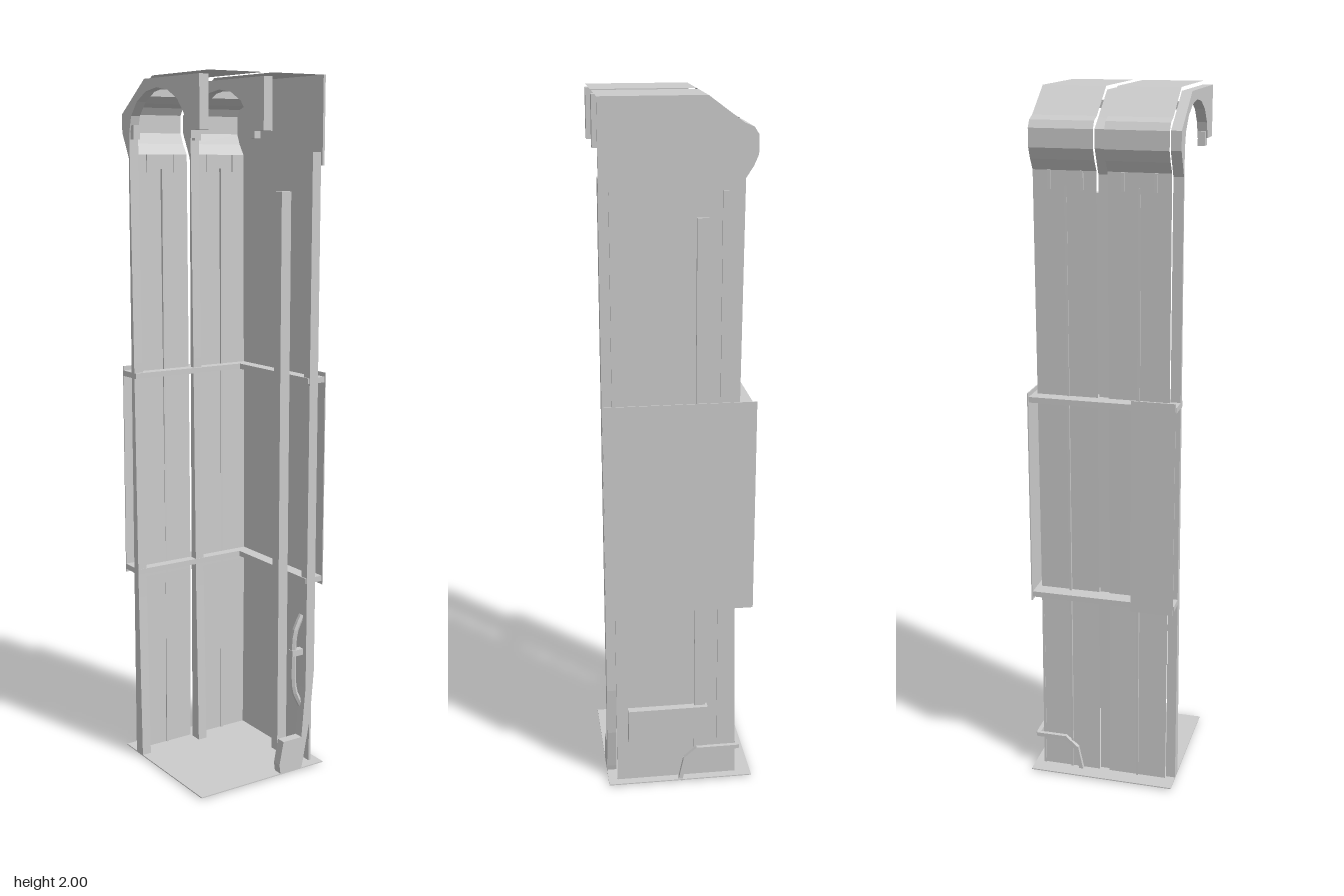
import * as THREE from 'three';

const mat = new THREE.MeshStandardMaterial({ color: 0xcccccc, flatShading: true, side: THREE.DoubleSide });

export function createModel() {
  const model = new THREE.Group();

  function add(name, geo) {
    const m = new THREE.Mesh(geo, mat);
    m.name = name;
    model.add(m);
    return m;
  }
  // box given by its limits on each axis
  function box(name, x0, x1, y0, y1, z0, z1) {
    const g = new THREE.BoxGeometry(x1 - x0, y1 - y0, z1 - z0);
    g.translate((x0 + x1) / 2, (y0 + y1) / 2, (z0 + z1) / 2);
    return add(name, g);
  }
  // solid with a [z, y] outline, running along x
  function alongX(name, pts, x0, x1) {
    const s = new THREE.Shape(pts.map(([z, y]) => new THREE.Vector2(-z, y)));
    const g = new THREE.ExtrudeGeometry(s, { depth: x1 - x0, bevelEnabled: false });
    g.rotateY(Math.PI / 2);
    g.translate(x0, 0, 0);
    return add(name, g);
  }
  // solid with an [x, y] outline, running along z
  function alongZ(name, pts, z0, z1) {
    const s = new THREE.Shape(pts.map(([x, y]) => new THREE.Vector2(x, y)));
    const g = new THREE.ExtrudeGeometry(s, { depth: z1 - z0, bevelEnabled: false });
    g.translate(0, 0, z0);
    return add(name, g);
  }
  // open sheet with a [z, y] section, running along x
  function sheet(name, pts, x0, x1) {
    const pos = [], idx = [];
    pts.forEach(([z, y], i) => {
      pos.push(x0, y, z, x1, y, z);
      const a = 2 * i;
      if (i) idx.push(a - 2, a - 1, a, a - 1, a + 1, a);
    });
    const g = new THREE.BufferGeometry();
    g.setAttribute('position', new THREE.Float32BufferAttribute(pos, 3));
    g.setIndex(idx);
    g.computeVertexNormals();
    return add(name, g);
  }

  // floor plate
  box('floorPlate', -0.215, 0.215, 0, 0.003, -0.215, 0.215);

  // roof, rounded shoulder and back wall, in two bays
  const crown = [[-0.07, 2], [-0.165, 1.93], [-0.19, 1.92], [-0.203, 1.9], [-0.203, 1.85], [-0.19, 1.82], [-0.17, 1.79]];
  const skin = [[0.215, 2], ...crown, [-0.165, 1.2], [-0.16, 0.55], [-0.165, 0]];
  for (const [x0, x1] of [[-0.187, -0.015], [0.015, 0.185]]) {
    sheet('roofAndBackPanel', skin, x0, x1);
    const mid = (x0 + x1) / 2;
    box('backSeam', mid - 0.003, mid + 0.003, 0, 1.75, -0.17, -0.16);
    for (const dx of [-0.045, 0.045]) box('backClip', mid + dx - 0.004, mid + dx + 0.004, 1.74, 1.79, -0.175, -0.166);
    // cross bar under the roof
    box('roofBar', x0, x1, 1.945, 1.965, -0.1, -0.08);
  }

  // ribs between the bays: arch under the roof with a short front leg
  const arch = [[-0.15, 1.83]];
  for (let i = 0; i <= 8; i++) {
    const a = Math.PI * (1 - i / 8);
    arch.push([0.15 * Math.cos(a), 1.85 + 0.115 * Math.sin(a)]);
  }
  const rib = [
    [-0.155, 0], [-0.155, 1.78], [-0.19, 1.85], [-0.19, 1.9], [-0.155, 1.925], [-0.065, 1.99],
    [0.215, 1.99], [0.215, 1.85], ...arch.slice().reverse(), [-0.14, 1.2], [-0.13, 0.5], [-0.118, 0],
  ];
  for (const x of [-0.201, 0]) {
    alongX('rib', rib, x - 0.014, x + 0.014);
    for (const z of [-0.15, 0.15]) box('ribBlock', x - 0.01, x + 0.01, 1.83, 1.87, z - 0.017, z + 0.017);
  }

  // side wall, wider at the top
  alongX('sideWall', [
    [0.188, 0], [0.188, 1.76], [0.215, 1.76], [0.215, 2], ...crown, [-0.165, 1.2], [-0.16, 0.55], [-0.168, 0],
  ], 0.183, 0.19);

  // upright on the front edge of the side wall, with a flared foot
  alongZ('frontUpright', [
    [0.178, 1.795], [0.178, 0.3], [0.165, 0.15], [0.14, 0.02], [0.135, 0],
    [0.06, 0], [0.056, 0.03], [0.07, 0.1], [0.135, 0.1], [0.148, 0.25], [0.15, 1.795],
  ], 0.187, 0.215);

  // vertical rails on and inside the side wall
  box('sideRail', 0.188, 0.2, 0.1, 1.69, -0.074, -0.042);
  box('sideRail', 0.188, 0.195, 0.1, 1.76, -0.145, -0.11);
  box('innerRail', 0.083, 0.115, 0.05, 1.69, 0.135, 0.165);

  // looped handle near the foot of the upright
  const loop = new THREE.CatmullRomCurve3([[0.15, 0.19], [0.125, 0.24], [0.12, 0.33], [0.125, 0.42], [0.15, 0.47]]
    .map(([x, y]) => new THREE.Vector3(x, y, 0.19)));
  add('handle', new THREE.TubeGeometry(loop, 12, 0.009, 6));
  box('handleBar', 0.11, 0.15, 0.35, 0.368, 0.18, 0.2);

  // two L-shaped shelves carrying the cover panels
  for (const y of [0.578, 1.165]) {
    box('backShelf', -0.215, 0.205, y - 0.008, y + 0.008, -0.205, -0.13);
    box('sideShelf', 0.145, 0.205, y - 0.008, y + 0.008, -0.13, 0.213);
  }
  alongZ('shelfBrace', [[0.15, 1.16], [0.18, 1.16], [0.17, 1.11], [0.155, 1.11]], 0.19, 0.21);
  alongZ('shelfBrace', [[0.15, 0.585], [0.18, 0.585], [0.17, 0.64], [0.155, 0.64]], 0.19, 0.21);
  box('sideCover', 0.203, 0.206, 0.56, 1.185, -0.21, 0.215);
  box('backCover', -0.213, -0.09, 0.56, 1.185, -0.21, -0.207);

  // box on the side wall
  box('sideBox', 0.188, 0.213, 0.14, 0.245, -0.08, 0.155);

  // strap bent round the outer corner near the floor
  const strap = [[0.205, 0, 0], [0.205, 0.07, -0.015], [0.205, 0.1, -0.05], [0.205, 0.1, -0.172],
    [0.12, 0.1, -0.172], [0.085, 0.07, -0.172], [0.07, 0, -0.172]].map((p) => new THREE.Vector3(...p));
  for (let i = 1; i < strap.length; i++) {
    const a = strap[i - 1], b = strap[i];
    const bar = add('cornerStrap', new THREE.BoxGeometry(0.012, 0.012, a.distanceTo(b) + 0.006));
    bar.position.copy(a).add(b).multiplyScalar(0.5);
    bar.lookAt(b);
  }

  return model;
}
